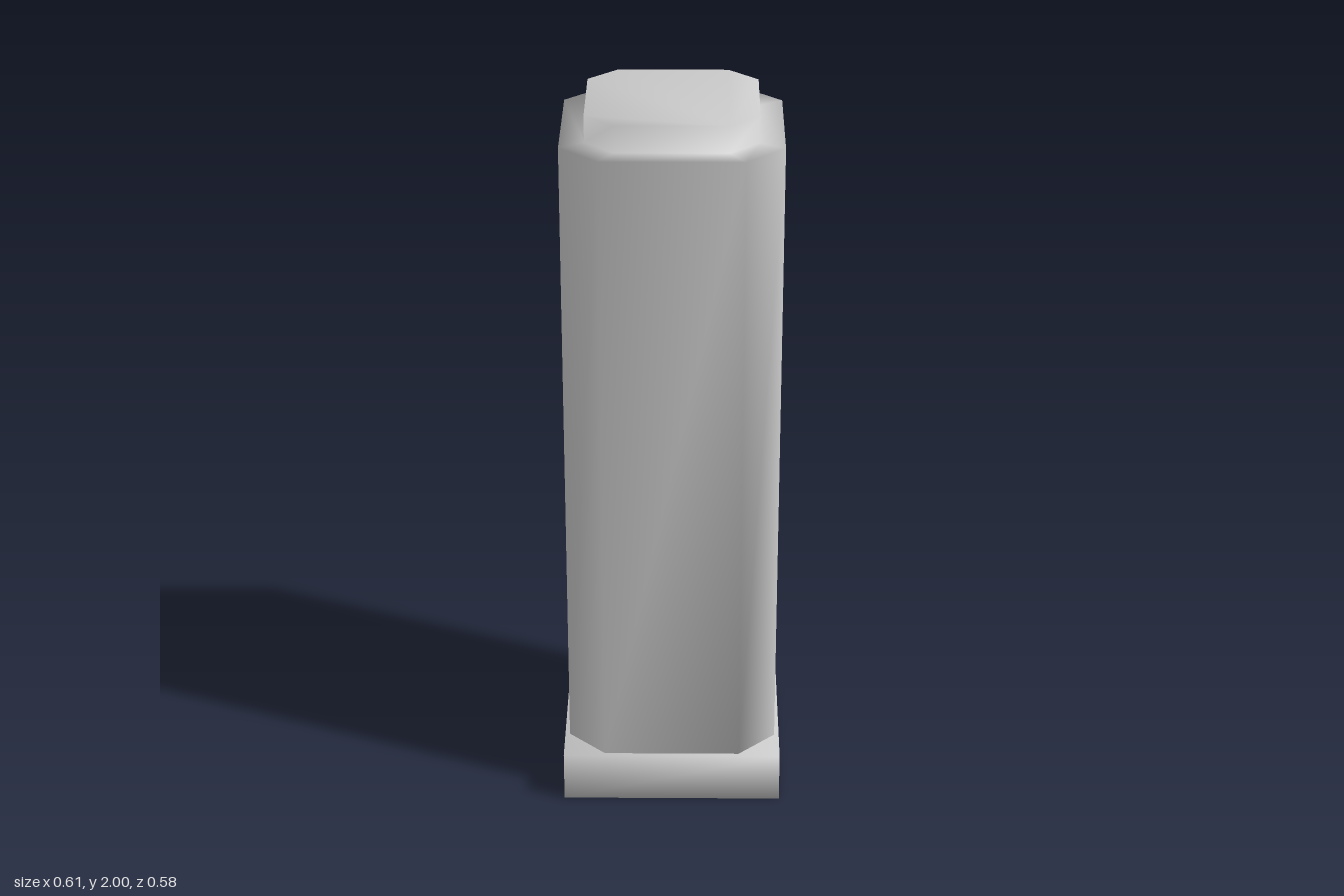
import * as THREE from 'three';

// Rectangle outline with half sizes w, d and cut corners (cx, cz), ordered +z -> +x -> -z -> -x
function outline(w, d, cx = 0, cz = 0) {
  const points = [];
  for (const [sx, sz] of [[1, 1], [1, -1], [-1, -1], [-1, 1]]) {
    if (!cx) {
      points.push([sx * w, sz * d]);
      continue;
    }
    const onZ = [sx * (w - cx), sz * d];
    const onX = [sx * w, sz * (d - cz)];
    points.push(...(sx * sz > 0 ? [onZ, onX] : [onX, onZ]));
  }
  return points;
}

// Closed solid through stacked outlines; shared vertices give smooth shading
function loft(name, sections, material) {
  const n = sections[0].ring.length;
  const positions = [];
  const index = [];
  for (const { y, ring } of sections) {
    for (const [x, z] of ring) positions.push(x, y, z);
  }
  for (let s = 0; s < sections.length - 1; s++) {
    for (let i = 0; i < n; i++) {
      const a = s * n + i;
      const b = s * n + (i + 1) % n;
      index.push(a, b, b + n, a, b + n, a + n);
    }
  }
  const top = (sections.length - 1) * n;
  for (let i = 1; i < n - 1; i++) {
    index.push(0, i + 1, i);
    index.push(top, top + i, top + i + 1);
  }
  const geometry = new THREE.BufferGeometry();
  geometry.setAttribute('position', new THREE.Float32BufferAttribute(positions, 3));
  geometry.setIndex(index);
  geometry.computeVertexNormals();
  const mesh = new THREE.Mesh(geometry, material);
  mesh.name = name;
  return mesh;
}

export function createModel() {
  const group = new THREE.Group();
  group.name = 'pillar';
  const material = new THREE.MeshStandardMaterial({ color: 0xcccccc });

  // Square plinth
  const base = outline(0.305, 0.292);
  group.add(loft('plinth', [{ y: 0, ring: base }, { y: 0.143, ring: base }], material));

  // Shaft with cut corners, stepping in to the raised cap
  const shaft = outline(0.292, 0.279, 0.103, 0.099);
  const cap = outline(0.227, 0.216, 0.079, 0.076);
  group.add(loft('shaftAndCap', [
    { y: 0.143, ring: shaft },
    { y: 1.927, ring: shaft },
    { y: 1.927, ring: cap },
    { y: 2, ring: cap },
  ], material));

  return group;
}
